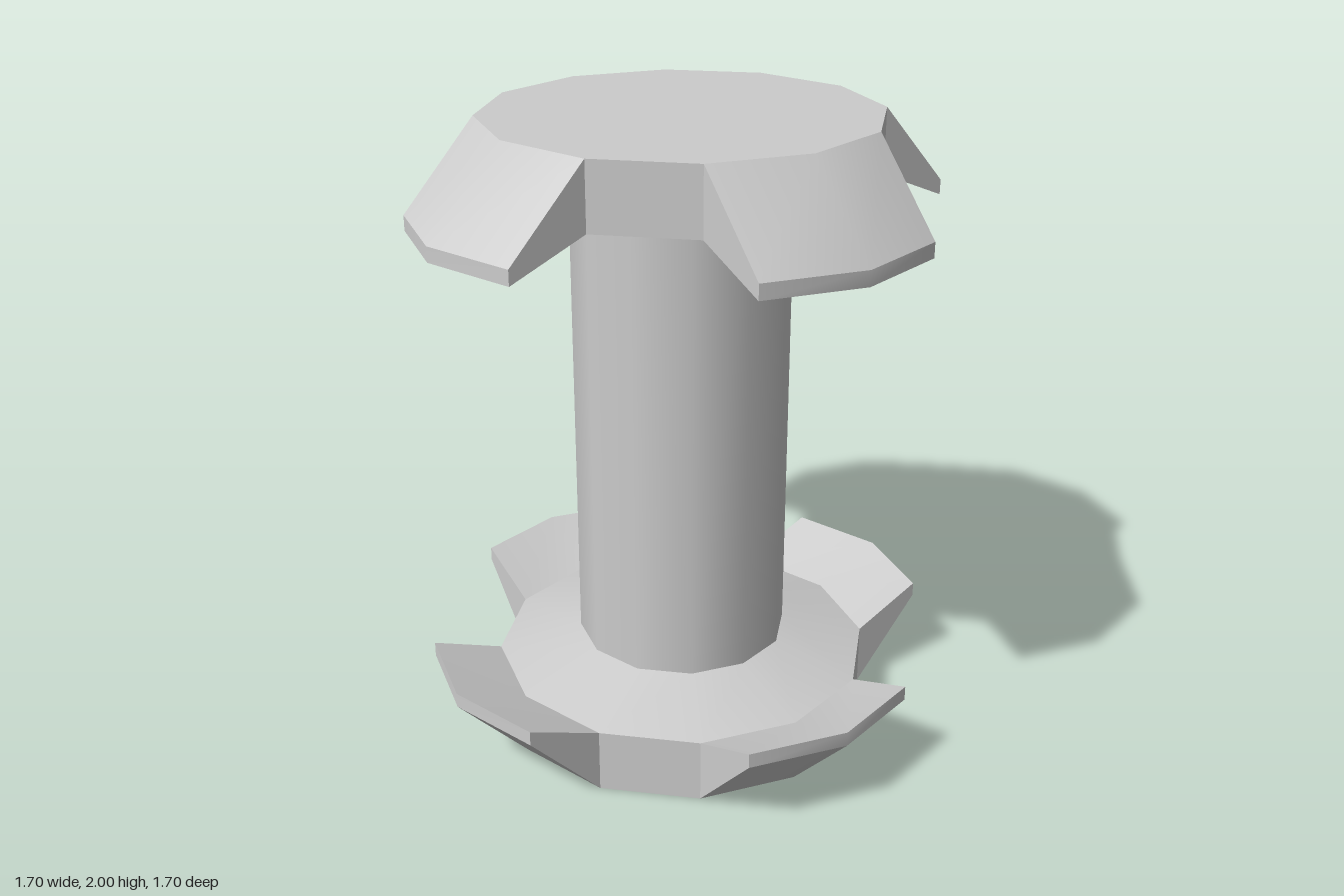
import * as THREE from 'three';
import { toCreasedNormals } from 'three/addons/utils/BufferGeometryUtils.js';

const SIDES = 12;
const R = 0.61;          // flange radius
const COLUMN_R = 0.34;
const RIM = 0.205;       // height of the flange rim
const COLLAR = 0.28;     // height where flange meets column
const REACH = 0.24;      // how far a flap sticks out

const smooth = new THREE.MeshStandardMaterial({ color: 0xcccccc });
const flat = new THREE.MeshStandardMaterial({ color: 0xcccccc, flatShading: true });

function addMesh(parent, name, geometry, material = smooth) {
  const mesh = new THREE.Mesh(geometry, material);
  mesh.name = name;
  parent.add(mesh);
  return mesh;
}

// Flared flap over two rim facets, facing +z: one section per rim corner
function flapGeometry() {
  const section = [[0, 0], [REACH, 0.258], [REACH, 0.305], [0, RIM]]; // [outward, y]
  const stations = [-1, 0, 1].map((i) => {
    const a = (i * 2 * Math.PI) / SIDES;
    return section.map(([out, y]) => [R * Math.sin(a), y, R * Math.cos(a) + out]);
  });
  const points = [];
  const quad = (a, b, c, d) => points.push(...a, ...b, ...c, ...a, ...c, ...d);
  for (let s = 0; s < 2; s++) {
    for (let k = 0; k < 3; k++) {
      quad(stations[s][k], stations[s + 1][k], stations[s + 1][k + 1], stations[s][k + 1]);
    }
  }
  quad(...stations[0]);
  quad(...[...stations[2]].reverse());
  const geometry = new THREE.BufferGeometry();
  geometry.setAttribute('position', new THREE.Float32BufferAttribute(points, 3));
  return toCreasedNormals(geometry, THREE.MathUtils.degToRad(35));
}

// Flange standing on y = 0 with four flaps and four rim panels between them
function createFlange(name) {
  const flange = new THREE.Group();
  flange.name = name;

  addMesh(flange, 'flangeFace', new THREE.CircleGeometry(R, SIDES).rotateX(Math.PI / 2));

  const slope = new THREE.CylinderGeometry(COLUMN_R, R, COLLAR - RIM, SIDES, 1, true);
  addMesh(flange, 'flangeSlope', slope).position.y = (COLLAR + RIM) / 2;

  const flap = flapGeometry();
  const panel = new THREE.CylinderGeometry(R, R, RIM, 1, 1, true, Math.PI / 6, Math.PI / 6);
  for (let i = 0; i < 4; i++) {
    const turn = (i * Math.PI) / 2;
    addMesh(flange, 'flap', flap).rotation.y = turn;
    const rim = addMesh(flange, 'rimPanel', panel, flat);
    rim.rotation.y = turn;
    rim.position.y = RIM / 2;
  }
  return flange;
}

export function createModel() {
  const model = new THREE.Group();
  model.name = 'flangedColumn';

  // Column between the two flanges
  const column = new THREE.CylinderGeometry(COLUMN_R, COLUMN_R, 2 - 2 * COLLAR, SIDES, 1, true);
  addMesh(model, 'column', column).position.y = 1;

  // Lower flange and its upside-down twin
  const top = createFlange('topFlange');
  top.rotation.x = Math.PI;
  top.position.y = 2;
  model.add(createFlange('bottomFlange'), top);

  return model;
}
